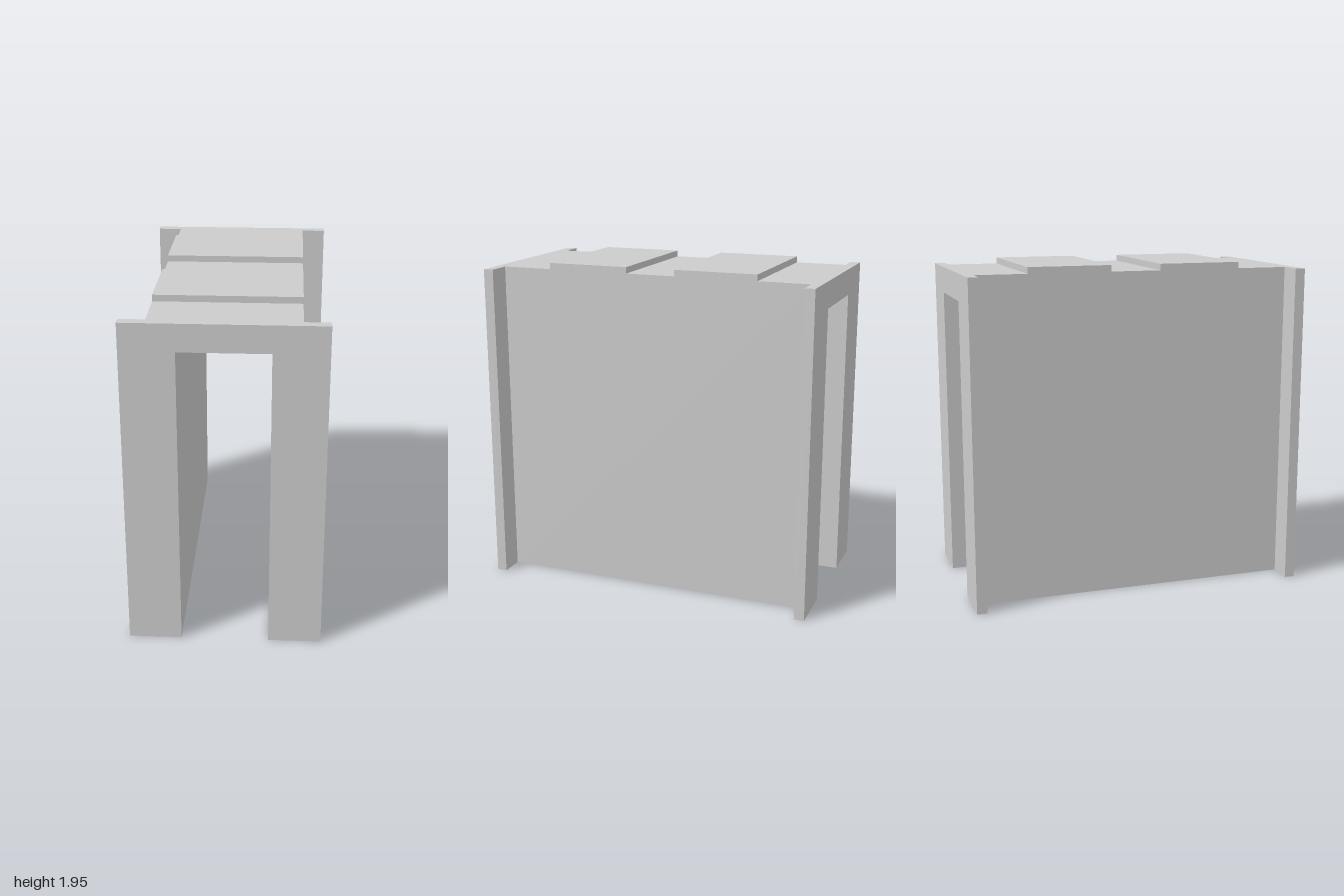
import * as THREE from 'three';

const material = new THREE.MeshStandardMaterial({ color: 0xcccccc, flatShading: true });

const HEIGHT = 1.91;       // top of the arch
const OPENING = 0.25;      // half width of the passage
const OPENING_TOP = 1.755; // ceiling of the passage
const BODY = 0.407;        // half width of the body
const FLANGE = 0.55;       // half width of the end frames
const FLANGE_DEPTH = 0.06;

// Upside-down U profile extruded along z
function arch(name, halfWidth, zStart, zEnd) {
  const shape = new THREE.Shape([
    [-halfWidth, 0], [-OPENING, 0], [-OPENING, OPENING_TOP], [OPENING, OPENING_TOP],
    [OPENING, 0], [halfWidth, 0], [halfWidth, HEIGHT], [-halfWidth, HEIGHT],
  ].map(([x, y]) => new THREE.Vector2(x, y)));
  const geometry = new THREE.ExtrudeGeometry(shape, { depth: zEnd - zStart, bevelEnabled: false });
  geometry.translate(0, 0, zStart);
  const mesh = new THREE.Mesh(geometry, material);
  mesh.name = name;
  return mesh;
}

export function createModel() {
  const group = new THREE.Group();
  group.name = 'archway';

  // Tunnel body between two wider end frames
  const inner = 1 - FLANGE_DEPTH;
  group.add(
    arch('body', BODY, -inner, inner),
    arch('frontFrame', FLANGE, inner, 1),
    arch('backFrame', FLANGE, -1, -inner),
  );

  // Raised pads across the roof
  const padHeight = 0.037;
  for (const side of [1, -1]) {
    const pad = new THREE.Mesh(new THREE.BoxGeometry(BODY * 2, padHeight, 0.49), material);
    pad.name = side > 0 ? 'frontRoofPad' : 'backRoofPad';
    pad.position.set(0, HEIGHT + padHeight / 2, side * 0.393);
    group.add(pad);
  }
  return group;
}
